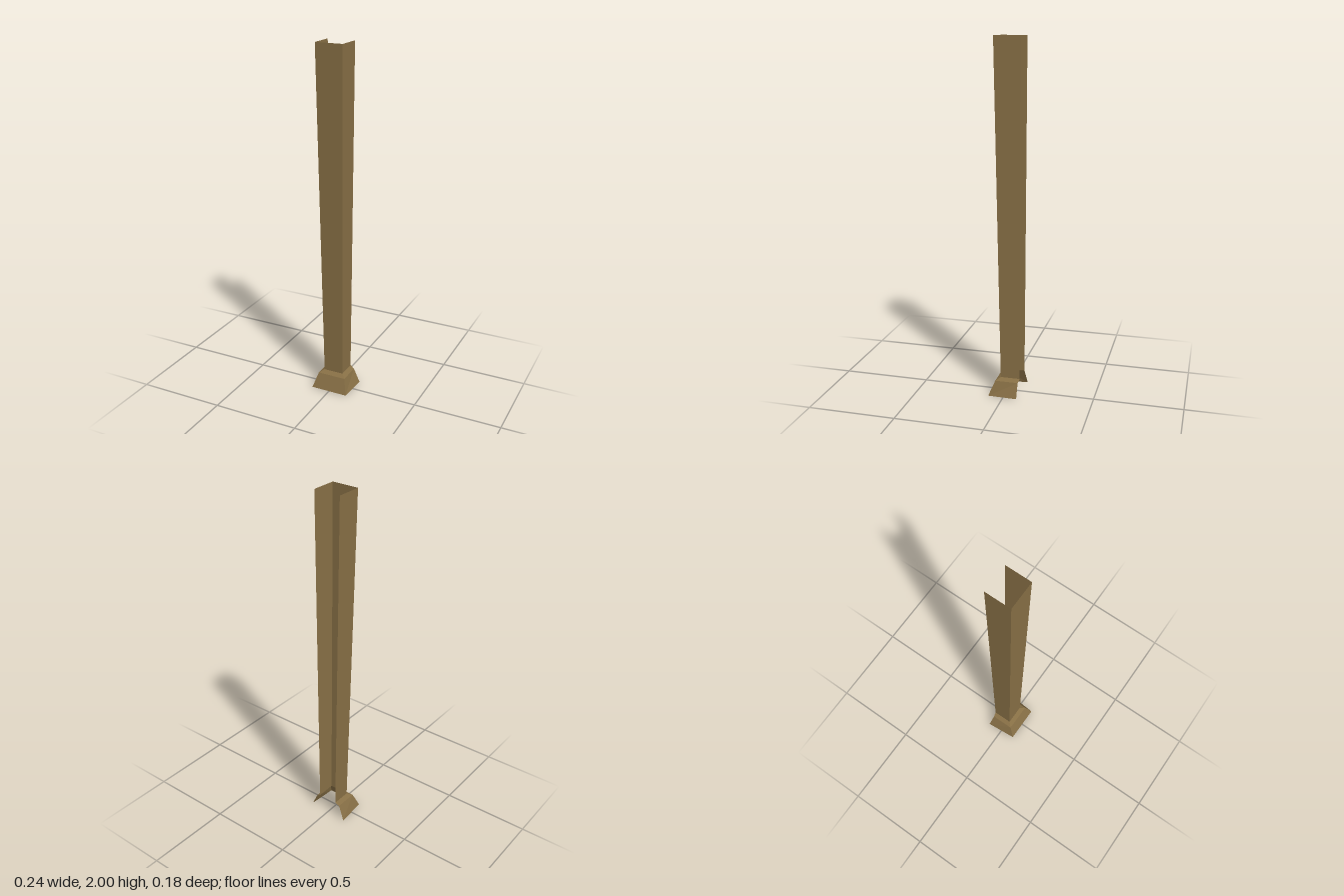
import * as THREE from 'three';

// Open U-shaped section: back left, front left, front right, back right as [x, y, z]
const topRing = [[-0.087, 2, -0.085], [-0.087, 2, 0.06], [0.07, 2, 0.06], [0.07, 2, -0.085]];
const neckRing = [[-0.058, 0.1, -0.085], [-0.058, 0.1, 0.026], [0.058, 0.1, 0.026], [0.058, 0.1, -0.085]];
const shoulderRing = [[-0.083, 0.085, -0.08], [-0.083, 0.085, 0.052], [0.083, 0.085, 0.052], [0.083, 0.085, -0.079]];
const footRing = [[-0.122, 0, -0.09], [-0.108, 0, 0.087], [0.108, 0, 0.087], [0.12, 0.004, -0.08]];

// Joins two open sections with flat, outward-facing panels
function skin(lower, upper) {
  const points = [];
  for (let i = 0; i < lower.length - 1; i++) {
    const [a, b, c, d] = [lower[i], lower[i + 1], upper[i + 1], upper[i]];
    points.push(...a, ...b, ...c, ...a, ...c, ...d);
  }
  const geometry = new THREE.BufferGeometry();
  geometry.setAttribute('position', new THREE.Float32BufferAttribute(points, 3));
  geometry.computeVertexNormals();
  return geometry;
}

export function createModel() {
  const group = new THREE.Group();
  group.name = 'column';
  const wood = new THREE.MeshStandardMaterial({ color: 0x876f45, side: THREE.DoubleSide, flatShading: true });
  wood.name = 'brown wood';

  // Tapered shaft, sloped collar and flared foot, all open at the back
  const parts = [
    ['shaft', neckRing, topRing],
    ['collar', shoulderRing, neckRing],
    ['foot', footRing, shoulderRing],
  ];
  for (const [name, lower, upper] of parts) {
    const mesh = new THREE.Mesh(skin(lower, upper), wood);
    mesh.name = name;
    group.add(mesh);
  }
  return group;
}
